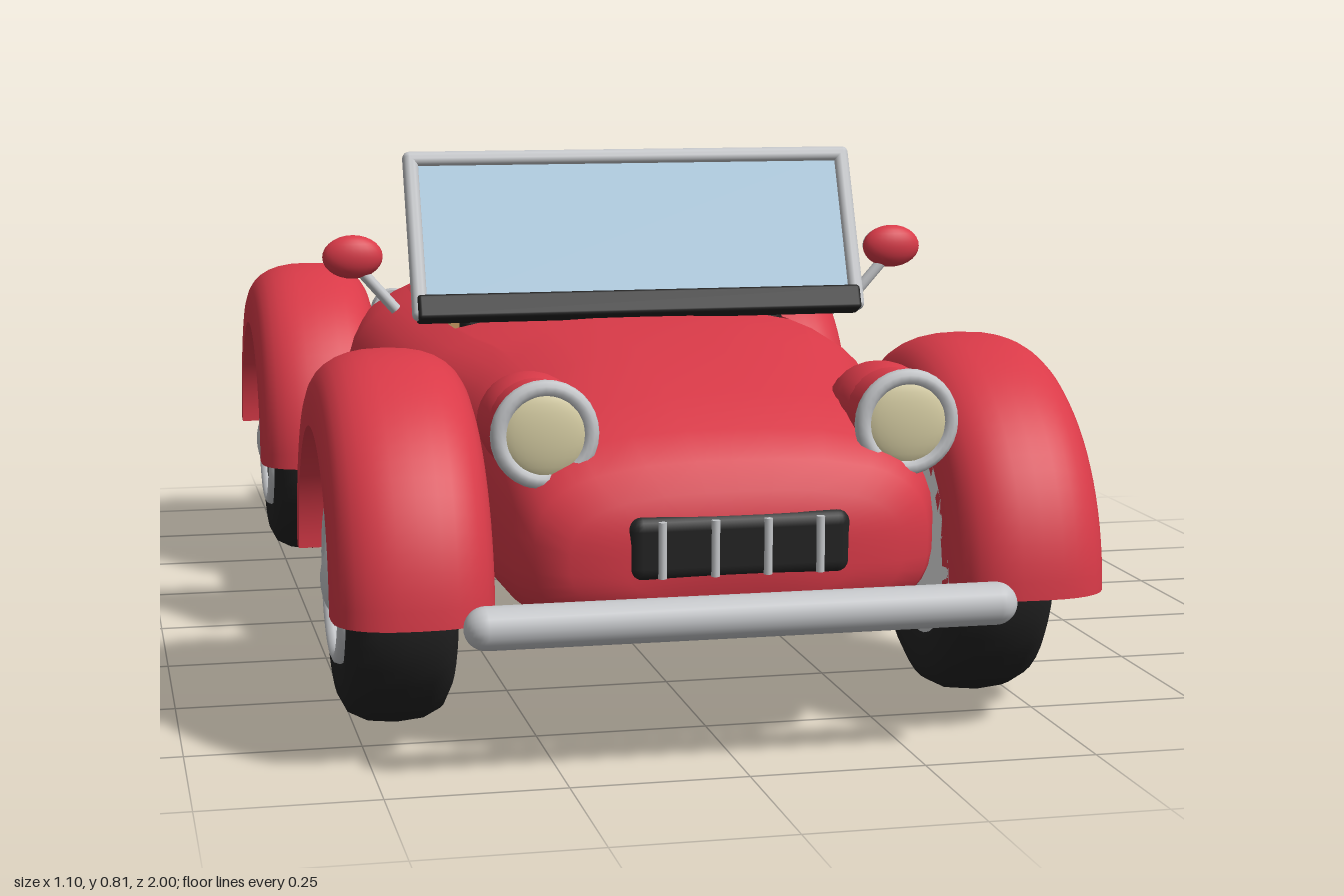
import * as THREE from 'three';
import { toCreasedNormals } from 'three/addons/utils/BufferGeometryUtils.js';
import { RoundedBoxGeometry } from 'three/addons/geometries/RoundedBoxGeometry.js';

const mat = (name, color, side = THREE.FrontSide) =>
  Object.assign(new THREE.MeshStandardMaterial({ color, side }), { name });
const M = {
  red: mat('red paint', 0xd93a48, THREE.DoubleSide),
  chrome: mat('chrome', 0xc4c6c9),
  black: mat('black rubber', 0x222222),
  tan: mat('tan leather', 0xb98a52),
  glass: mat('blue glass', 0xa9c8de, THREE.DoubleSide),
  lens: mat('cream lens', 0xd6cda3),
  liner: mat('white liner', 0xf0f0f0, THREE.DoubleSide),
};

function add(parent, name, geo, material, x = 0, y = 0, z = 0) {
  const mesh = new THREE.Mesh(geo, material);
  mesh.name = name;
  mesh.position.set(x, y, z);
  parent.add(mesh);
  return mesh;
}
const rbox = (w, h, d, r) => new RoundedBoxGeometry(w, h, d, 3, r);
const cylZ = (r, d) => new THREE.CylinderGeometry(r, r, d, 28).rotateX(Math.PI / 2);
const V2 = (x, y) => new THREE.Vector2(x, y);

// Body: rounded sections [z, half width, top, bottom, open cockpit] joined front to back
function bodyGeometry() {
  const sections = [
    [0.94, 0.16, 0.35, 0.24], [0.93, 0.235, 0.385, 0.215], [0.905, 0.28, 0.425, 0.19],
    [0.86, 0.302, 0.46, 0.17], [0.77, 0.315, 0.498, 0.155], [0.6, 0.322, 0.53, 0.15],
    [0.5, 0.335, 0.542, 0.15], [0.4, 0.362, 0.55, 0.15], [0.32, 0.388, 0.552, 0.15],
    [0.2, 0.4, 0.552, 0.15], [0.2, 0.4, 0.552, 0.15, 1], [0, 0.402, 0.548, 0.15, 1],
    [-0.3, 0.402, 0.548, 0.15, 1], [-0.46, 0.388, 0.546, 0.15, 1], [-0.46, 0.388, 0.546, 0.15],
    [-0.55, 0.36, 0.542, 0.15], [-0.64, 0.336, 0.532, 0.15], [-0.74, 0.326, 0.512, 0.155],
    [-0.82, 0.322, 0.485, 0.165], [-0.88, 0.308, 0.455, 0.18], [-0.915, 0.28, 0.42, 0.2],
    [-0.925, 0.22, 0.385, 0.225],
  ];
  const n = 3, N = 34, a0 = Math.acos(0.7 ** (n / 2));
  const ring = [0.7, 0.69, 0.45, 0.2, 0, -0.2, -0.45, -0.69]
    .map((u, i) => [u, (1 - Math.abs(u) ** n) ** (1 / n), i > 0]);
  const pow = (c) => Math.sign(c) * Math.abs(c) ** (2 / n);
  for (let i = 0; i < N; i++) {
    const a = Math.PI - a0 + (i / N) * (Math.PI + 2 * a0);
    ring.push([pow(Math.cos(a)), pow(Math.sin(a)), false]);
  }
  const R = ring.length, pos = [], idx = [];
  for (const [z, w, top, bottom, open] of sections) {
    const mid = bottom + (top - bottom) * 0.47;
    for (const [u, v, inside] of ring) {
      const y = mid + v * (v > 0 ? top - mid : mid - bottom);
      pos.push(u * w, open && inside ? 0.25 : y, z);
    }
  }
  const last = sections.length - 1;
  const front = pos.length / 3;
  pos.push(0, 0.3, 0.945, 0, 0.31, -0.93);
  for (let j = 0; j < R; j++) {
    const k = (j + 1) % R;
    for (let i = 0; i < last; i++) {
      const a = i * R + j, b = i * R + k;
      idx.push(a, a + R, b, b, a + R, b + R);
    }
    idx.push(front, j, k, front + 1, last * R + k, last * R + j);
  }
  const geo = new THREE.BufferGeometry();
  geo.setAttribute('position', new THREE.Float32BufferAttribute(pos, 3));
  geo.setIndex(idx);
  return toCreasedNormals(geo, 0.75);
}

// Fender: rounded cross-section swept half a turn over the wheel
function addFender(parent, x, z, s) {
  const fender = new THREE.Group();
  fender.name = 'fender';
  fender.position.set(x, 0.215, z);
  const profile = [V2(0.225, -0.112)];
  for (let i = 0; i <= 16; i++) {
    const a = Math.PI * (1 - i / 16), c = Math.cos(a);
    profile.push(V2(0.25 + 0.085 * Math.sin(a) ** 0.8, 0.112 * Math.sign(c) * Math.abs(c) ** 0.8));
  }
  profile.push(V2(0.225, 0.112), V2(0.225, -0.112));
  const shell = new THREE.LatheGeometry(profile, 40, Math.PI, Math.PI).rotateZ(-Math.PI / 2);
  add(fender, 'fenderShell', toCreasedNormals(shell, 0.7), M.red);
  const cap = new THREE.ShapeGeometry(new THREE.Shape(profile.map((p) => V2(p.y, p.x))));
  for (const e of [1, -1]) add(fender, 'fenderEnd', cap.clone().rotateX(e * Math.PI / 2), M.red);
  add(fender, 'wheelWellLiner', new THREE.CircleGeometry(0.255, 32, 0, Math.PI).rotateY(Math.PI / 2),
    M.liner, -s * 0.112, -0.02, 0);
  parent.add(fender);
}

// Wheel built around y, then turned so its face points outward
function addWheel(parent, x, z, s) {
  const wheel = new THREE.Group();
  wheel.name = 'wheel';
  wheel.position.set(x, 0.215, z);
  wheel.rotation.z = -s * Math.PI / 2;
  const tyre = [[0.12, -0.07], [0.14, -0.078], [0.17, -0.078], [0.193, -0.066], [0.206, -0.04],
    [0.21, 0], [0.206, 0.04], [0.193, 0.066], [0.17, 0.078], [0.14, 0.078], [0.12, 0.07]];
  add(wheel, 'tyre', new THREE.LatheGeometry(tyre.map(([r, y]) => V2(r, y)), 40), M.black);
  add(wheel, 'rim', new THREE.CylinderGeometry(0.121, 0.121, 0.142, 32), M.chrome);
  add(wheel, 'rimRing', new THREE.TorusGeometry(0.112, 0.011, 8, 36).rotateX(Math.PI / 2), M.chrome, 0, 0.076, 0);
  add(wheel, 'hubCap', new THREE.SphereGeometry(0.055, 24, 12).scale(1, 0.5, 1), M.chrome, 0, 0.072, 0);
  for (let i = 0; i < 5; i++) {
    const a = (i / 5) * Math.PI * 2;
    add(wheel, 'rimHole', new THREE.CylinderGeometry(0.015, 0.015, 0.006, 14), M.black,
      0.08 * Math.cos(a), 0.073, 0.08 * Math.sin(a));
  }
  parent.add(wheel);
}

function addWindscreen(parent) {
  const screen = new THREE.Group();
  screen.name = 'windscreen';
  screen.position.set(0, 0.555, 0.327);
  screen.rotation.x = -0.407;
  add(screen, 'glass', new THREE.BoxGeometry(0.69, 0.25, 0.008), M.glass, 0, 0.14, 0);
  add(screen, 'screenSeal', rbox(0.715, 0.04, 0.035, 0.006), M.black, 0, 0.018, 0);
  add(screen, 'topFrame', rbox(0.73, 0.024, 0.026, 0.01), M.chrome, 0, 0.264, 0);
  for (const s of [1, -1]) add(screen, 'sideFrame', rbox(0.024, 0.276, 0.026, 0.01), M.chrome, s * 0.353, 0.138, 0);
  parent.add(screen);
}

function addSteeringWheel(parent) {
  const steering = new THREE.Group();
  steering.name = 'steeringWheel';
  steering.position.set(0, 0.545, 0.108);
  steering.rotation.x = 0.53;
  add(steering, 'steeringRim', new THREE.TorusGeometry(0.113, 0.012, 10, 36), M.black);
  add(steering, 'steeringHub', cylZ(0.026, 0.03), M.chrome);
  for (let i = 0; i < 3; i++) {
    const spoke = new THREE.BoxGeometry(0.018, 0.1, 0.009).translate(0, -0.06, 0);
    add(steering, 'spoke', spoke.rotateZ((i * Math.PI * 2) / 3), M.chrome);
  }
  add(steering, 'steeringColumn', cylZ(0.016, 0.13), M.black, 0, 0, 0.07);
  parent.add(steering);
}

export function createModel() {
  const car = new THREE.Group();
  car.name = 'roadster';
  add(car, 'body', bodyGeometry(), M.red);

  for (const s of [1, -1]) {
    for (const z of [0.607, -0.607]) {
      addFender(car, s * 0.44, z, s);
      addWheel(car, s * 0.442, z, s);
    }
    // Headlights
    add(car, 'headlightPod', new THREE.SphereGeometry(0.074, 24, 16).scale(1, 0.95, 1.6), M.red, s * 0.258, 0.463, 0.758);
    add(car, 'headlightBowl', cylZ(0.068, 0.07), M.red, s * 0.258, 0.463, 0.83);
    add(car, 'headlightRing', new THREE.TorusGeometry(0.064, 0.012, 10, 32), M.chrome, s * 0.258, 0.463, 0.868);
    add(car, 'headlightLens', new THREE.SphereGeometry(0.062, 24, 12).scale(1, 1, 0.25), M.lens, s * 0.258, 0.463, 0.868);
    // Tail lights
    add(car, 'tailLightRing', cylZ(0.044, 0.035), M.chrome, s * 0.24, 0.42, -0.905);
    add(car, 'tailLightLens', new THREE.SphereGeometry(0.034, 20, 12).scale(1, 1, 0.45), M.red, s * 0.24, 0.42, -0.921);
    // Wing mirrors
    add(car, 'mirrorShell', new THREE.SphereGeometry(0.048, 24, 14).scale(1, 0.72, 0.5), M.red, s * 0.445, 0.645, 0.215);
    add(car, 'mirrorFace', cylZ(0.042, 0.008).scale(1, 0.72, 1), M.chrome, s * 0.445, 0.645, 0.197);
    const stalk = add(car, 'mirrorStalk', new THREE.CylinderGeometry(0.009, 0.009, 0.095, 12), M.chrome, s * 0.408, 0.595, 0.215);
    stalk.rotation.z = -s * 0.72;
    // Exhausts and bumper brackets
    add(car, 'exhaust', cylZ(0.023, 0.2), M.chrome, s * 0.265, 0.176, -0.875);
    for (const e of [1, -1]) add(car, 'bumperBracket', new THREE.BoxGeometry(0.025, 0.02, 0.1), M.chrome, s * 0.18, 0.23, e * 0.92);
  }

  // Bumpers
  for (const [y, z] of [[0.222, 0.97], [0.235, -0.97]]) {
    add(car, 'bumper', new THREE.CapsuleGeometry(0.03, 0.715, 8, 20).rotateZ(Math.PI / 2), M.chrome, 0, y, z);
  }

  // Grille and rear plate
  add(car, 'grille', rbox(0.318, 0.095, 0.05, 0.022), M.black, 0, 0.312, 0.922);
  for (const x of [-0.111, -0.037, 0.037, 0.111]) {
    add(car, 'grilleBar', new THREE.CylinderGeometry(0.006, 0.006, 0.078, 10), M.chrome, x, 0.312, 0.947);
  }
  add(car, 'rearPlate', new THREE.BoxGeometry(0.2, 0.085, 0.02), M.chrome, 0, 0.345, -0.925);

  // Cockpit
  add(car, 'dashboard', rbox(0.535, 0.1, 0.045, 0.015), M.black, 0, 0.495, 0.175);
  add(car, 'seatCushion', rbox(0.46, 0.12, 0.42, 0.03), M.tan, 0, 0.31, -0.15);
  add(car, 'seatBack', rbox(0.475, 0.37, 0.07, 0.028), M.tan, 0, 0.477, -0.373).rotation.x = -0.15;
  addWindscreen(car);
  addSteeringWheel(car);
  return car;
}
